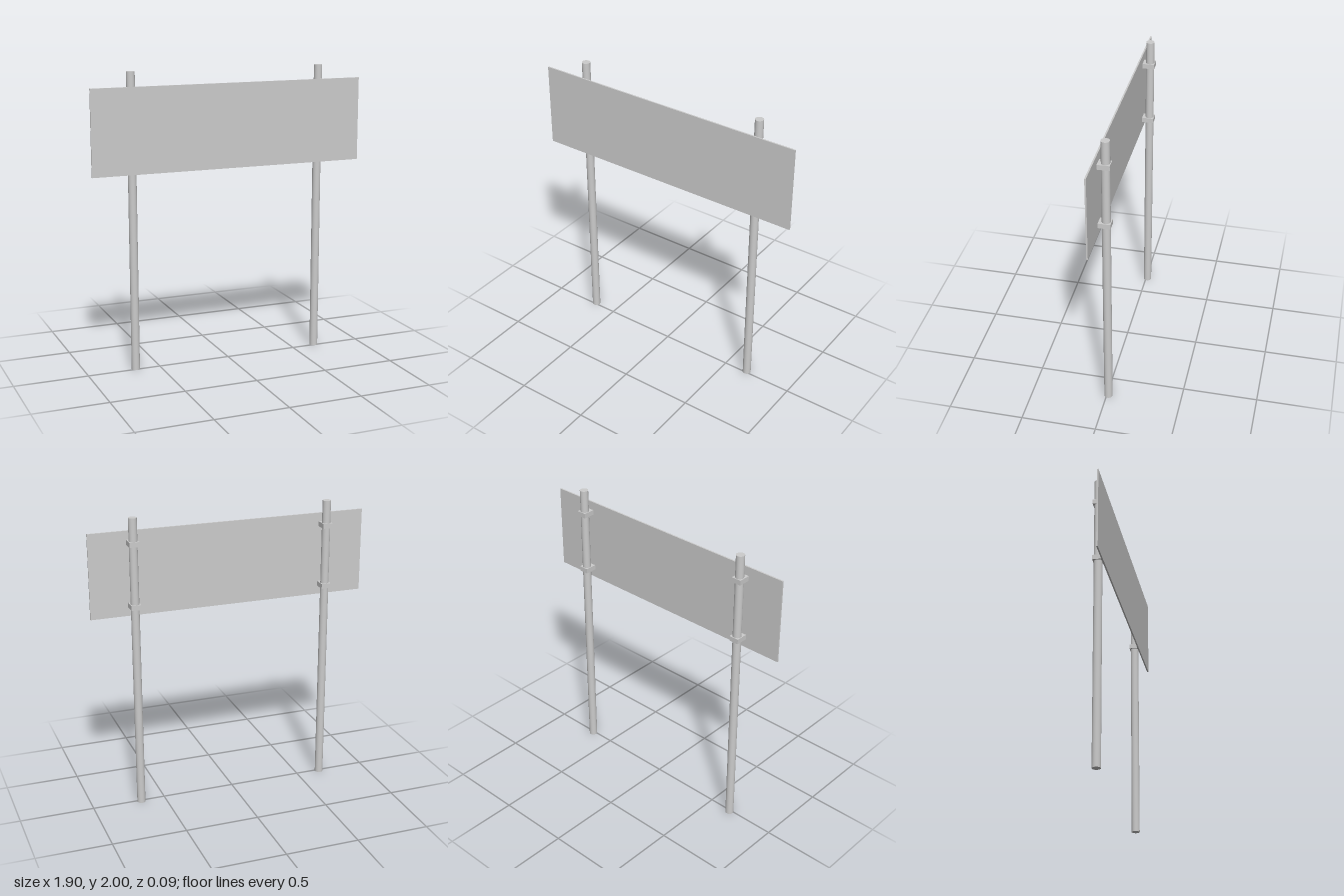
import * as THREE from 'three';

export function createModel() {
  const model = new THREE.Group();
  const material = new THREE.MeshStandardMaterial({ color: 0xcccccc });

  function add(name, geometry, x, y, z) {
    const mesh = new THREE.Mesh(geometry, material);
    mesh.name = name;
    mesh.position.set(x, y, z);
    model.add(mesh);
  }

  // Thin flat sign board
  add('signPanel', new THREE.BoxGeometry(1.904, 0.568, 0.01), 0, 1.622, 0.04);

  // Two round posts, each with an upper and a lower clamp holding the board
  const postGeometry = new THREE.CylinderGeometry(0.028, 0.028, 2, 24);
  const clampGeometry = new THREE.BoxGeometry(0.067, 0.033, 0.08);
  for (const [side, x] of [['left', 0.665], ['right', -0.67]].map(([s, v]) => [s, Math.sign(v) * 0.667])) {
    add(side + 'Post', postGeometry, x, 1, -0.012);
    add(side + 'UpperClamp', clampGeometry, x, 1.831, -0.005);
    add(side + 'LowerClamp', clampGeometry, x, 1.413, -0.005);
  }

  return model;
}
